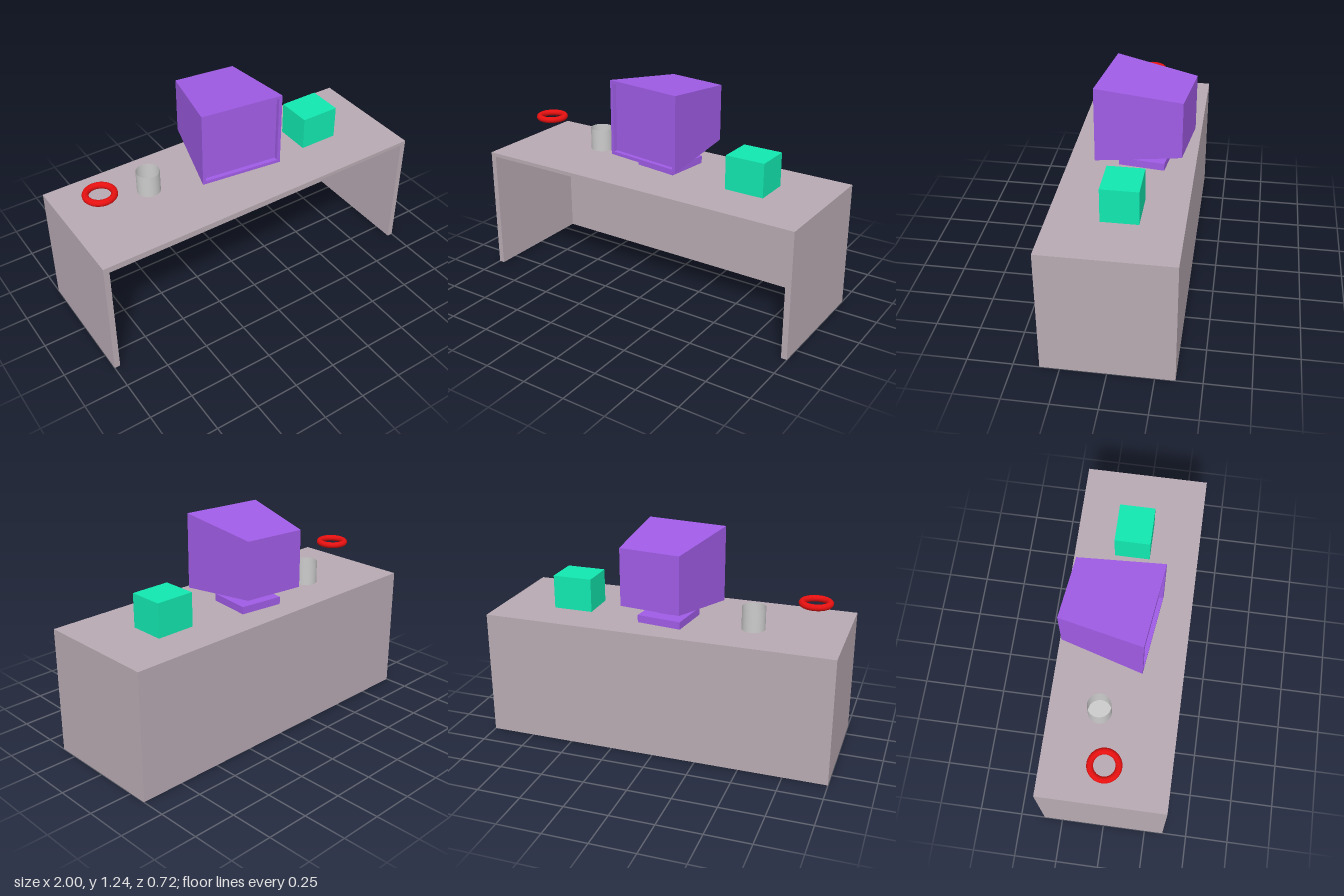
import * as THREE from 'three';

const mat = (color) => new THREE.MeshStandardMaterial({ color });

function add(parent, name, geometry, material, x = 0, y = 0, z = 0) {
  const mesh = new THREE.Mesh(geometry, material);
  mesh.name = name;
  mesh.position.set(x, y, z);
  parent.add(mesh);
  return mesh;
}

// Box given by its limits on each axis
function block(parent, name, material, [x0, x1], [y0, y1], [z0, z1]) {
  return add(parent, name, new THREE.BoxGeometry(x1 - x0, y1 - y0, z1 - z0), material,
    (x0 + x1) / 2, (y0 + y1) / 2, (z0 + z1) / 2);
}

// Flat-shaded solid through rectangular sections [halfWidth, y0, y1, z], capped at both ends
function sectionSolid(sections) {
  const rings = sections.map(([w, y0, y1, z]) => [[-w, y0, z], [w, y0, z], [w, y1, z], [-w, y1, z]]);
  const pos = [];
  const quad = (a, b, c, d) => pos.push(...a, ...b, ...c, ...a, ...c, ...d);
  for (let i = 0; i < rings.length - 1; i++) {
    for (let j = 0; j < 4; j++) {
      const k = (j + 1) % 4;
      quad(rings[i][j], rings[i][k], rings[i + 1][k], rings[i + 1][j]);
    }
  }
  const first = rings[0], last = rings[rings.length - 1];
  quad(first[3], first[2], first[1], first[0]);
  quad(last[0], last[1], last[2], last[3]);
  const geometry = new THREE.BufferGeometry();
  geometry.setAttribute('position', new THREE.Float32BufferAttribute(pos, 3));
  geometry.computeVertexNormals();
  return geometry;
}

export function createModel() {
  const model = new THREE.Group();
  model.name = 'deskScene';
  const deskTop = 0.73;

  // Desk: top, two side panels and a back panel, open at the front
  const desk = new THREE.Group();
  desk.name = 'desk';
  model.add(desk);
  const deskMat = mat(0xb8aab2);
  const slab = deskTop - 0.022;
  block(desk, 'tableTop', deskMat, [-1, 1], [slab, deskTop], [-0.358, 0.358]);
  block(desk, 'rightPanel', deskMat, [-1, -0.967], [0, slab], [-0.358, 0.358]);
  block(desk, 'leftPanel', deskMat, [0.967, 1], [0, slab], [-0.358, 0.358]);
  block(desk, 'backPanel', deskMat, [-0.967, 0.967], [0, slab], [-0.358, -0.325]);

  // Monitor, turned slightly on its stand
  const monitor = new THREE.Group();
  monitor.name = 'monitor';
  monitor.position.set(-0.005, 0, -0.076);
  monitor.rotation.y = -0.127;
  model.add(monitor);
  const purple = mat(0xa05ce6);
  add(monitor, 'monitorCase', sectionSolid([
    [0.177, 0.855, 1.183, -0.238], // narrow back
    [0.237, 0.8, 1.237, 0.238],    // front rim
    [0.218, 0.819, 1.219, 0.238],  // bezel inner edge
    [0.218, 0.819, 1.219, 0.213],  // recessed screen
  ]), purple);
  block(monitor, 'monitorNeck', purple, [-0.041, 0.041], [0.77, 0.85], [-0.05, 0.05]);
  block(monitor, 'monitorBase', purple, [-0.13, 0.13], [deskTop, 0.773], [-0.13, 0.13]);

  // Cube ornament
  block(model, 'cube', mat(0x12e8b0), [0.45, 0.68], [deskTop, 0.925], [-0.124, 0.08]);

  // Open cup
  const cupMat = mat(0xcccccc);
  cupMat.side = THREE.DoubleSide;
  const cup = new THREE.Group();
  cup.name = 'cup';
  cup.position.set(-0.495, deskTop, -0.075);
  model.add(cup);
  add(cup, 'cupWall', new THREE.CylinderGeometry(0.066, 0.066, 0.13, 40, 1, true), cupMat, 0, 0.065, 0);
  add(cup, 'cupBottom', new THREE.CircleGeometry(0.066, 40), cupMat, 0, 0.002, 0).rotation.x = -Math.PI / 2;

  // Ring hovering above the desk
  add(model, 'ring', new THREE.TorusGeometry(0.076, 0.018, 20, 48), mat(0xe61010), -0.818, 0.892, 0)
    .rotation.x = Math.PI / 2;

  return model;
}
